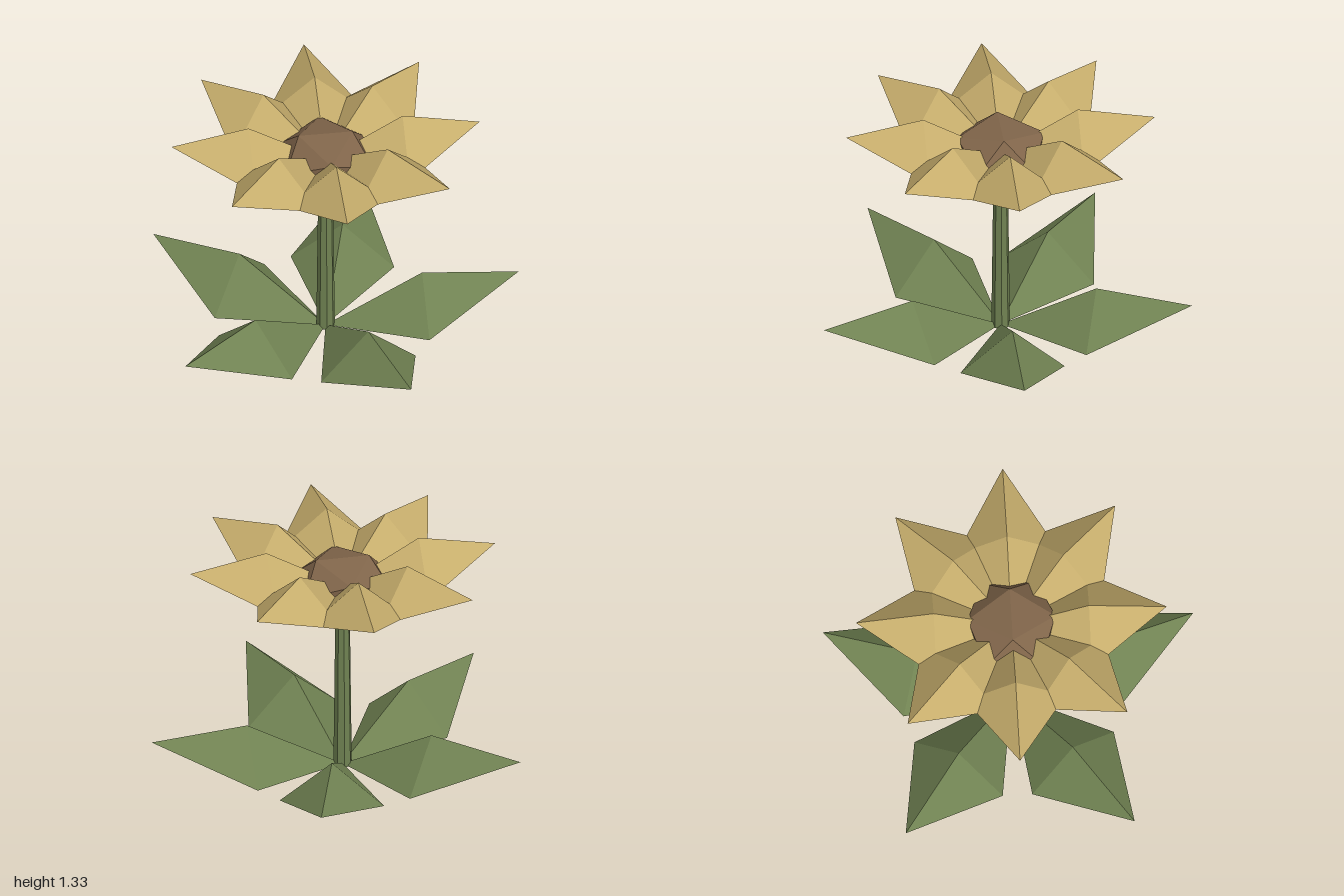
import * as THREE from 'three';

const material = (name, color) => {
  const m = new THREE.MeshStandardMaterial({ color, flatShading: true });
  m.name = name;
  return m;
};

// Pointed blade along +x: a ridge on top, a shallow groove underneath
function bladeGeometry({ baseY, mid, halfWidth, sideY, ridgeY, tip, tipY }) {
  const base = [0, baseY, 0];
  const left = [mid, sideY, -halfWidth];
  const right = [mid, sideY, halfWidth];
  const ridge = [mid, ridgeY, 0];
  const end = [tip, tipY, 0];
  const faces = [
    base, right, ridge, right, end, ridge, // upper right
    base, ridge, left, left, ridge, end,   // upper left
    base, end, right, base, left, end,     // underside
  ];
  const g = new THREE.BufferGeometry();
  g.setAttribute('position', new THREE.Float32BufferAttribute(faces.flat(), 3));
  g.computeVertexNormals();
  return g;
}

// Blades spread evenly around the stem
function ring(name, count, geometry, mat) {
  const group = new THREE.Group();
  group.name = name + 's';
  for (let i = 0; i < count; i++) {
    const blade = new THREE.Mesh(geometry, mat);
    blade.name = name;
    blade.rotation.y = (i / count) * Math.PI * 2;
    group.add(blade);
  }
  return group;
}

export function createModel() {
  const green = material('leaf green', 0x708252);
  const yellow = material('petal yellow', 0xc6ad6c);
  const brown = material('seed brown', 0x80654a);

  const flower = new THREE.Group();
  flower.name = 'flower';
  flower.position.x = -0.1;

  // Stem
  const stem = new THREE.Mesh(new THREE.CylinderGeometry(0.038, 0.05, 1.04, 8), green);
  stem.name = 'stem';
  stem.position.y = 0.525;
  flower.add(stem);

  // Ground leaves
  flower.add(ring('leaf', 5, bladeGeometry({
    baseY: 0.005, mid: 0.52, halfWidth: 0.28, sideY: 0.05, ridgeY: 0.295, tip: 1.04, tipY: 0.25,
  }), green));

  // Petals
  flower.add(ring('petal', 8, bladeGeometry({
    baseY: 1.095, mid: 0.415, halfWidth: 0.27, sideY: 1.1, ridgeY: 1.335, tip: 0.83, tipY: 1.255,
  }), yellow));

  // Flattened seed head
  const seedHead = new THREE.Mesh(new THREE.IcosahedronGeometry(0.276, 0), brown);
  seedHead.name = 'seedHead';
  seedHead.scale.y = 0.607;
  seedHead.position.y = 1.1175;
  flower.add(seedHead);

  const model = new THREE.Group();
  model.name = 'flowerModel';
  model.add(flower);
  return model;
}
